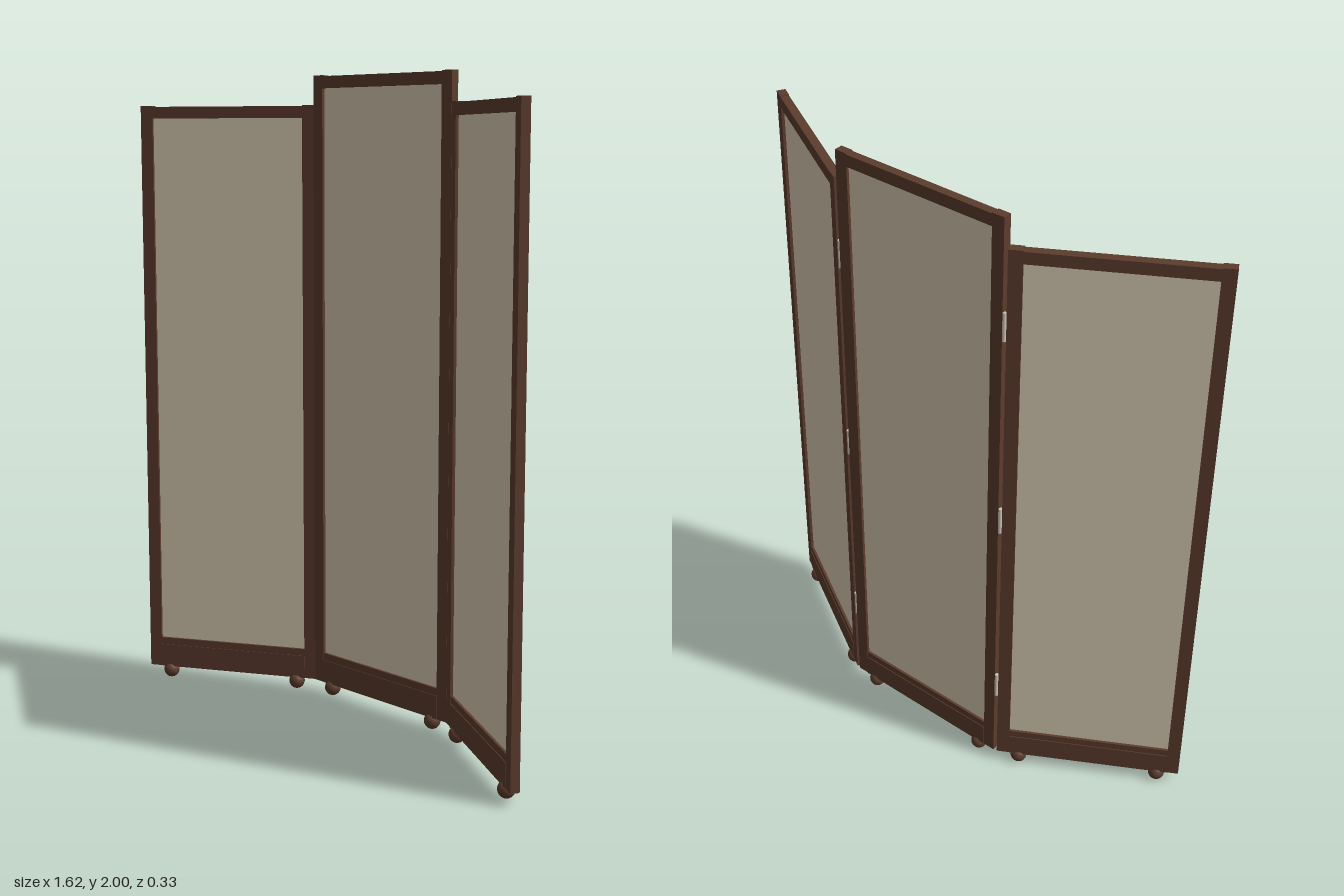
import * as THREE from 'three';

const wood = new THREE.MeshStandardMaterial({ color: 0x5d3c2e });
wood.name = 'dark wood';
const fabric = new THREE.MeshStandardMaterial({ color: 0xd9ccb4 });
fabric.name = 'cream fabric';
const metal = new THREE.MeshStandardMaterial({ color: 0xd0c8b8 });
metal.name = 'pale metal';

const WIDTH = 0.586, POST = 0.04, DEPTH = 0.027, BOTTOM = 0.04;

function add(parent, name, geometry, material, x, y, z = 0) {
  const mesh = new THREE.Mesh(geometry, material);
  mesh.name = name;
  mesh.position.set(x, y, z);
  parent.add(mesh);
  return mesh;
}

// Box given by its width, vertical span and depth
function slab(parent, name, material, x, w, y0, y1, d) {
  add(parent, name, new THREE.BoxGeometry(w, y1 - y0, d), material, x, (y0 + y1) / 2);
}

// One framed leaf of the screen standing on two ball feet
function createPanel(name, top) {
  const panel = new THREE.Group();
  panel.name = name;
  const inner = WIDTH - 2 * POST;
  for (const s of [-1, 1]) {
    slab(panel, 'post', wood, s * (WIDTH - POST) / 2, POST, BOTTOM, top, DEPTH);
    add(panel, 'foot', new THREE.SphereGeometry(0.026, 20, 14), wood, s * 0.223, 0.026);
  }
  slab(panel, 'topRail', wood, 0, inner, top - 0.04, top - 0.003, DEPTH);
  slab(panel, 'baseBoard', wood, 0, inner, BOTTOM, 0.115, 0.03);
  slab(panel, 'lowerRail', wood, 0, inner, 0.115, 0.138, 0.025);
  slab(panel, 'fabricScreen', fabric, 0, inner, 0.138, top - 0.04, 0.009);
  return panel;
}

export function createModel() {
  const model = new THREE.Group();
  model.name = 'foldingScreen';

  const centre = createPanel('centrePanel', 2);
  centre.position.z = -0.14;
  model.add(centre);

  for (const s of [-1, 1]) {
    // Side leaves swing forward by thirty degrees
    const side = createPanel(s > 0 ? 'leftPanel' : 'rightPanel', 1.91);
    side.position.set(s * 0.552, 0, 0.007);
    side.rotation.y = -s * Math.PI / 6;
    model.add(side);

    // Hinge knuckles along each joint
    for (const y of [0.335, 1.003, 1.67]) {
      add(model, 'hinge', new THREE.CylinderGeometry(0.006, 0.006, 0.09, 12), metal, s * 0.2965, y, -0.149);
    }
  }
  return model;
}
